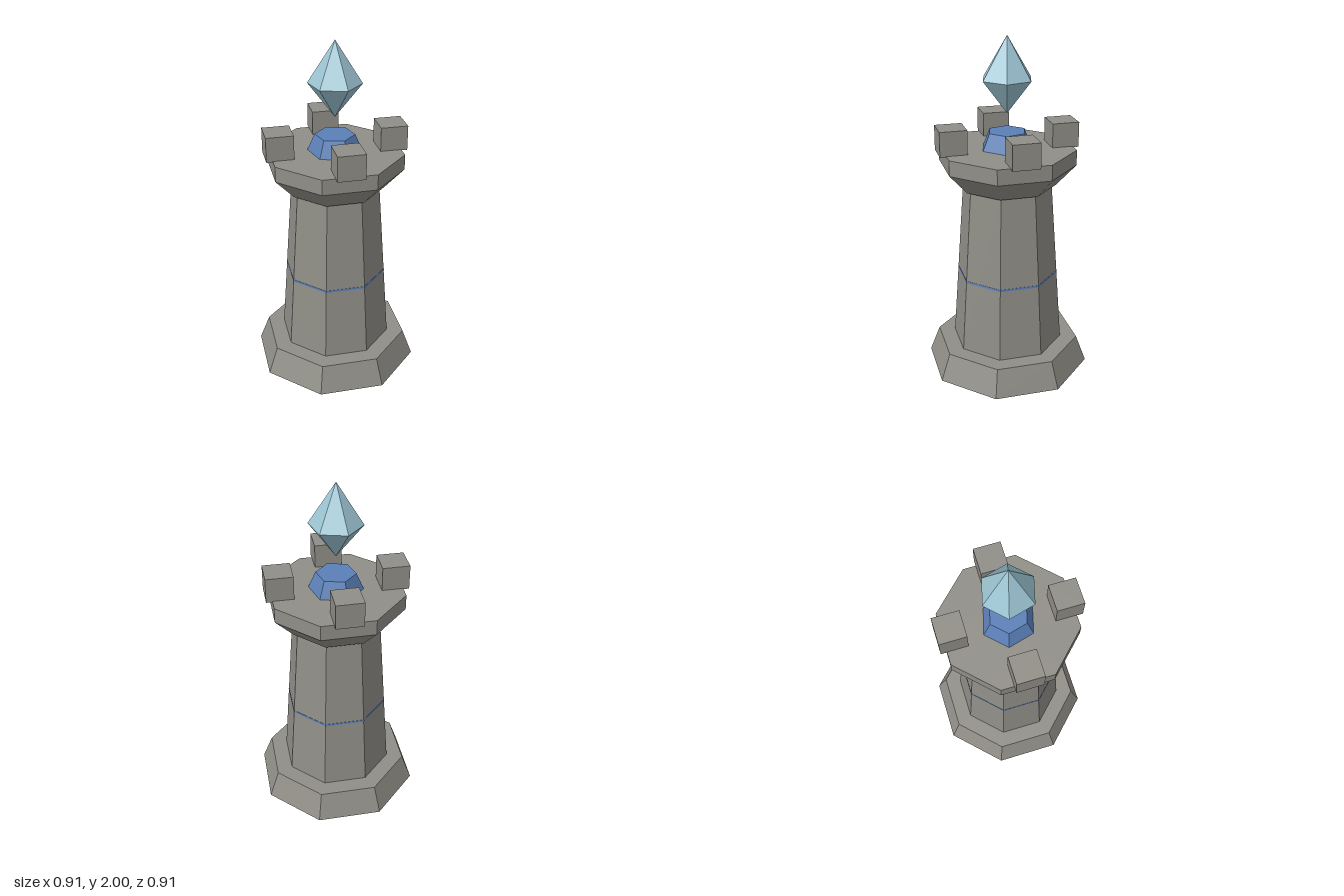
import * as THREE from 'three';

export function createModel() {
  const tower = new THREE.Group();
  tower.name = 'tower';

  const material = (color) => new THREE.MeshStandardMaterial({ color, flatShading: true });
  const stone = material(0x908e87);
  const blue = material(0x5b80b8);
  const ice = material(0x9cc4d2);

  function add(name, geometry, mat, parent = tower) {
    const mesh = new THREE.Mesh(geometry, mat);
    mesh.name = name;
    parent.add(mesh);
    return mesh;
  }

  // Eight-sided tier: half-widths across the flats at its bottom and top heights
  function octagonTier(name, y0, y1, half0, half1, mat = stone) {
    const k = 1 / Math.cos(Math.PI / 8);
    const g = new THREE.CylinderGeometry(half1 * k, half0 * k, y1 - y0, 8);
    g.rotateY(Math.PI / 8);
    g.translate(0, (y0 + y1) / 2, 0);
    return add(name, g, mat);
  }

  // Six-sided tier with corners towards front and back
  function hexTier(name, y0, y1, r0, r1, mat, parent, open = false) {
    const g = new THREE.CylinderGeometry(r1, r0, y1 - y0, 6, 1, open);
    g.translate(0, (y0 + y1) / 2, 0);
    return add(name, g, mat, parent);
  }

  // Stone body
  octagonTier('base', 0, 0.16, 0.453, 0.397);
  octagonTier('shaft', 0.16, 1.15, 0.305, 0.239);
  octagonTier('corbel', 1.15, 1.275, 0.26, 0.367);
  octagonTier('parapet', 1.275, 1.365, 0.367, 0.367);

  // Thin inlaid band around the shaft
  octagonTier('band', 0.594, 0.606, 0.2775, 0.2767, blue);

  // Four battlement blocks on the diagonals
  const battlements = new THREE.Group();
  battlements.name = 'battlements';
  tower.add(battlements);
  for (let i = 0; i < 4; i++) {
    const angle = Math.PI / 4 + i * Math.PI / 2;
    const block = add('battlementBlock', new THREE.BoxGeometry(0.156, 0.145, 0.156), stone, battlements);
    block.position.set(Math.sin(angle) * 0.324, 1.4325, Math.cos(angle) * 0.324);
    block.rotation.y = angle;
  }

  // Pedestal and the crystal floating above it
  hexTier('crystalPedestal', 1.36, 1.462, 0.158, 0.114, blue, tower);
  const crystal = new THREE.Group();
  crystal.name = 'crystal';
  tower.add(crystal);
  hexTier('crystalLower', 1.565, 1.76, 0, 0.152, ice, crystal, true);
  hexTier('crystalUpper', 1.76, 2, 0.152, 0, ice, crystal, true);

  return tower;
}
